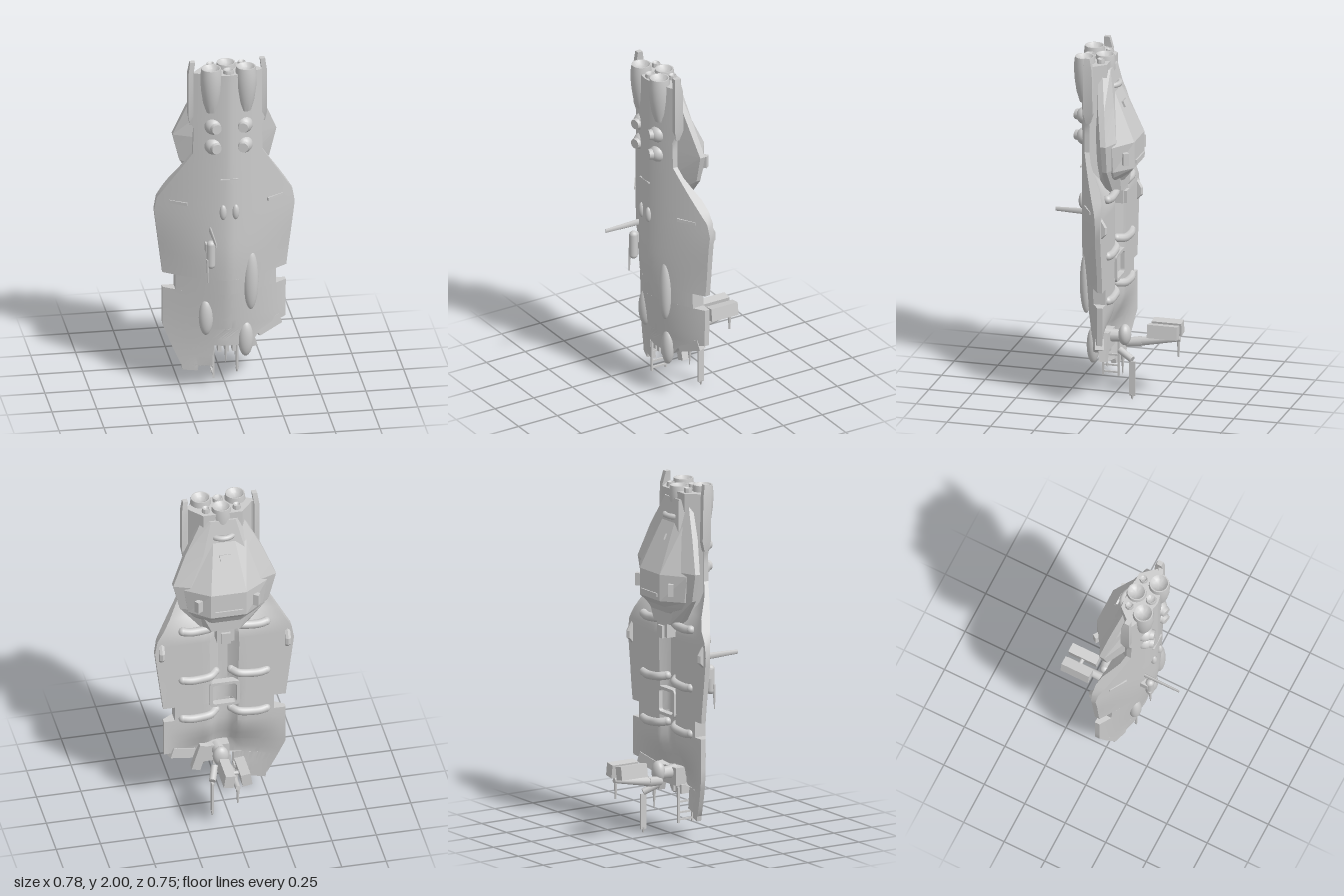
import * as THREE from 'three';
import { toCreasedNormals } from 'three/addons/utils/BufferGeometryUtils.js';

const { lerp, smoothstep } = THREE.MathUtils;

export function createModel() {
  const root = new THREE.Group();
  const mat = new THREE.MeshStandardMaterial({ color: 0xcccccc, side: THREE.DoubleSide });

  const add = (name, geo, x = 0, y = 0, z = 0, parent = root) => {
    const m = new THREE.Mesh(geo, mat);
    m.name = name;
    m.position.set(x, y, z);
    parent.add(m);
    return m;
  };
  const box = (name, w, h, d, x, y, z) => add(name, new THREE.BoxGeometry(w, h, d), x, y, z);
  const blob = (name, rx, ry, rz, x, y, z) =>
    add(name, new THREE.SphereGeometry(1, 20, 14).scale(rx, ry, rz), x, y, z);
  // rod between two points, r1 at the start and r2 at the end
  const rod = (name, a, b, r1, r2 = r1, sides = 10) => {
    const p = new THREE.Vector3(...a), q = new THREE.Vector3(...b), d = q.clone().sub(p);
    const m = add(name, new THREE.CylinderGeometry(r2, r1, d.length(), sides));
    m.position.copy(p).add(q).multiplyScalar(0.5);
    m.quaternion.setFromUnitVectors(new THREE.Vector3(0, 1, 0), d.normalize());
    return m;
  };
  // skin over rings of [x, y, z], bottom to top, counter-clockwise from above
  const loft = (rings, crease = 0.3) => {
    const n = rings[0].length, top = (rings.length - 1) * n, idx = [];
    for (let r = 0; r < rings.length - 1; r++)
      for (let i = 0; i < n; i++) {
        const a = r * n + i, b = r * n + ((i + 1) % n);
        idx.push(a, b, b + n, a, b + n, a + n);
      }
    for (let i = 0; i < n / 2 - 1; i++) {
      const q = [i, i + 1, n - 2 - i, n - 1 - i];
      idx.push(q[0], q[2], q[1], q[0], q[3], q[2]);
      idx.push(top + q[0], top + q[1], top + q[2], top + q[0], top + q[2], top + q[3]);
    }
    const g = new THREE.BufferGeometry();
    g.setAttribute('position', new THREE.Float32BufferAttribute(rings.flat(2), 3));
    g.setIndex(idx);
    return toCreasedNormals(g, crease);
  };

  // ---- hull: swept shell, V-shaped in section, rows of [y, left edge, right edge]
  const rows = [
    [0.11, -0.24, -0.16], [0.14, -0.245, -0.155], [0.145, -0.25, -0.075], [0.27, -0.305, -0.075],
    [0.27, -0.305, 0.14], [0.31, -0.32, 0.17], [0.37, -0.344, 0.3], [0.38, -0.345, 0.34],
    [0.6, -0.345, 0.342], [0.6, -0.28, 0.28], [0.69, -0.28, 0.28], [0.69, -0.345, 0.345],
    [1.07, -0.392, 0.392], [1.15, -0.378, 0.378], [1.45, -0.195, 0.195], [1.6, -0.19, 0.19],
    [1.66, -0.215, 0.215], [1.94, -0.215, 0.215]];
  const front = (x, y) => {
    const w = lerp(0.345, 0.392, smoothstep(y, 0.65, 1.08));
    const ridge = lerp(0.1, 0.185, smoothstep(y, 0.05, 0.9));
    return ridge * (1 - Math.pow(Math.min(1, Math.abs(x) / w), 1.45)) + 0.005;
  };
  const back = (x, y) => {
    const shell = front(x, y) - 0.028;
    const filled = Math.min(shell, -0.022 + 0.045 * (1 - smoothstep(Math.abs(x), 0.03, 0.09)));
    return lerp(shell, filled, smoothstep(y, 0.25, 0.55) * (1 - smoothstep(y, 1.15, 1.4)));
  };
  const hullRings = [];
  rows.forEach((row, k) => {
    const next = rows[k + 1];
    const steps = next ? Math.max(1, Math.ceil((next[0] - row[0]) / 0.07)) : 1;
    for (let s = 0; s < steps; s++) {
      const [y, l, r] = next ? row.map((v, i) => lerp(v, next[i], s / steps)) : row;
      const xs = Array.from({ length: 29 }, (_, i) => lerp(l, r, i / 28));
      hullRings.push([...xs.map(x => [x, y, front(x, y)]),
        ...xs.reverse().map(x => [x, y, back(x, y)])]);
    }
  });
  add('hull', loft(hullRings, 0.5));

  // ---- engine block and rear cabin
  const slab = (y, pts) => pts.map(([x, z]) => [x, y, z]);
  const block = [[0.18, 0.1], [0.11, 0.02], [-0.11, 0.02], [-0.18, 0.1], [-0.08, 0.17], [0.08, 0.17]];
  add('engineBlock', loft([slab(1.25, block), slab(1.94, block)]));
  // half width, ridge half width, front z, side z, rear z
  const cabin = ([y, w, t, zf, zm, zb]) => slab(y, [[w, zf], [w, zm], [t, zb], [-t, zb],
    [-w, zm], [-w, zf], [-w * 0.45, 0.08], [w * 0.45, 0.08]]);
  add('cabinBase', loft([
    [1.2, 0.12, 0.08, 0.02, -0.02, -0.055], [1.36, 0.25, 0.15, 0.005, -0.02, -0.06],
    [1.52, 0.29, 0.2, 0.005, -0.025, -0.06], [1.7, 0.215, 0.12, 0.04, 0.005, -0.025],
    [1.9, 0.11, 0.07, 0.07, 0.045, 0.01]].map(cabin), 0.1));
  add('cabinDome', loft([
    [1.27, 0.13, 0.08, 0, -0.03, -0.07], [1.31, 0.18, 0.09, 0, -0.04, -0.095],
    [1.35, 0.21, 0.1, 0, -0.045, -0.135], [1.5, 0.235, 0.1, 0, -0.045, -0.135],
    [1.78, 0.13, 0.06, 0.03, 0.01, -0.008]].map(cabin), 0.1));
  box('dockingTail', 0.1, 0.12, 0.06, 0, 1.18, -0.025);
  box('dockingLatch', 0.05, 0.07, 0.03, 0, 1.15, -0.055);
  box('cabinHatch', 0.065, 0.035, 0.02, 0, 1.69, -0.05).rotation.x = 0.43;
  box('cabinSill', 0.16, 0.02, 0.02, 0, 1.38, -0.133);
  const collar = add('engineCollar', new THREE.TorusGeometry(0.07, 0.016, 8, 20, Math.PI), 0, 1.8, 0.05);
  collar.rotation.x = -Math.PI / 2;

  // ---- nozzles with dished mouths
  const nozzle = (name, x, z, r, low, high) => add(name, toCreasedNormals(new THREE.LatheGeometry(
    [[0, 0], [0.45, 0.04], [0.75, 0.25], [0.95, 0.55], [1, 0.82], [0.9, 1], [0.8, 1], [0.5, 0.93], [0, 0.9]]
      .map(([a, b]) => new THREE.Vector2(a * r, lerp(low, high, b))), 24), 0.6), x, 0, z);
  nozzle('centreNozzle', 0, 0.06, 0.057, 1.72, 1.965);
  nozzle('smallNozzle', 0, 0.15, 0.03, 1.85, 1.96);

  for (const s of [-1, 1]) {
    nozzle('mainNozzle', s * 0.097, 0.15, 0.06, 1.7, 1.975);
    nozzle('smallNozzle', s * 0.087, 0.06, 0.023, 1.85, 1.965);
    // upright fins beside the engines
    const fin = (y, x, a, b) => slab(y, [[x + 0.014, a], [x - 0.014, a], [x - 0.014, b], [x + 0.014, b]]);
    add('fin', loft([fin(1.62, s * 0.195, 0.09, 0.11), fin(1.68, s * 0.205, 0.07, 0.125),
      fin(1.93, s * 0.205, 0.075, 0.125), fin(2, s * 0.195, 0.09, 0.12)]));
    // round thrusters
    for (const y of [1.505, 1.625]) {
      blob('thrusterBase', 0.05, 0.05, 0.05, s * 0.085, y, 0.15);
      rod('thrusterCap', [s * 0.085, y, 0.16], [s * 0.073, y, 0.207], 0.036, 0.028, 20);
    }
    blob('sensorBlister', 0.02, 0.045, 0.018, s * 0.035, 1.11, front(0.035, 1.11));
    box('wingSlot', 0.11, 0.018, 0.012, s * 0.27, 1.14, front(0.27, 1.14)).rotation.y = s * 0.57;
    // pods behind the wing tips
    const pod = (y, d) => slab(y, [[s * 0.355 + 0.015, -0.01], [s * 0.355 + 0.015, -d],
      [s * 0.355, -d - 0.008], [s * 0.355 - 0.015, -d], [s * 0.355 - 0.015, -0.01], [s * 0.355, 0]]);
    add('wingPod', loft([pod(1.01, 0.015), pod(1.04, 0.045), pod(1.08, 0.045), pod(1.13, 0.015)]));
    // side clamps on the cabin
    box('cabinClamp', 0.04, 0.07, 0.03, s * 0.16, 1.42, -0.1).rotation.y = s * 0.6;
    // curved cross rails on the rear face
    for (const y of [1.2, 0.87, 0.61]) {
      const path = new THREE.CatmullRomCurve3([[0.045, 0.012, 0.01], [0.08, 0.004, -0.022],
        [0.15, -0.004, -0.028], [0.2, -0.004, -0.028], [0.235, 0, -0.02]]
        .map(p => new THREE.Vector3(s * p[0], y + p[1], p[2])));
      add('crossRail', new THREE.TubeGeometry(path, 16, 0.024, 10));
      for (const t of [0, 1]) {
        const p = path.getPoint(t);
        blob('railEnd', 0.024, 0.024, 0.024, p.x, p.y, p.z);
      }
    }
    // solar panels on the boom
    box('boomPanel', 0.055, 0.075, 0.17, s * 0.048, 0.393, -0.285).rotation.z = s * 0.15;
  }

  // ---- front details
  box('seam', 0.1, 0.006, 0.008, 0, 1.31, 0.188);
  const bulge = (x, y, rx, ry) => blob('hullBulge', rx, ry, 0.035, x, y, front(x, y) - 0.002);
  bulge(0.127, 0.67, 0.042, 0.18);
  bulge(-0.12, 0.45, 0.04, 0.108);
  bulge(0.103, 0.3, 0.042, 0.105);
  add('sensorPod', new THREE.CapsuleGeometry(0.024, 0.12, 6, 14), -0.105, 0.865, 0.195);
  rod('podNeedle', [-0.125, 0.84, 0.205], [-0.125, 0.7, 0.21], 0.009, 0.003);
  box('podMount', 0.035, 0.05, 0.05, -0.115, 0.9, 0.17);
  const blade = add('antennaBlade', new THREE.CylinderGeometry(0.012, 0.02, 0.23, 8).scale(0.4, 1, 1), -0.103, 0.998, 0.26);
  blade.rotation.x = Math.PI / 2;

  // ---- rear window frame in the centre trough
  const frame = new THREE.Shape();
  const rounded = (p, w, h, r) => p.moveTo(-w + r, -h).lineTo(w - r, -h).quadraticCurveTo(w, -h, w, -h + r)
    .lineTo(w, h - r).quadraticCurveTo(w, h, w - r, h).lineTo(-w + r, h).quadraticCurveTo(-w, h, -w, h - r)
    .lineTo(-w, -h + r).quadraticCurveTo(-w, -h, -w + r, -h);
  rounded(frame, 0.085, 0.08, 0.025);
  const hole = new THREE.Path();
  rounded(hole, 0.068, 0.063, 0.02);
  frame.holes.push(hole);
  add('windowFrame', new THREE.ExtrudeGeometry(frame, { depth: 0.04, bevelEnabled: false }), 0, 0.745, -0.03);

  // ---- lower equipment: turret, boom, hanging needles
  box('gearBase', 0.15, 0.1, 0.09, 0.04, 0.32, 0.06);
  blob('turret', 0.045, 0.06, 0.035, 0.03, 0.35, -0.06);
  rod('turretMount', [0.03, 0.34, 0.05], [0.02, 0.34, -0.07], 0.04, 0.03);
  rod('boomRoot', [0.01, 0.3, -0.06], [0, 0.31, -0.15], 0.025, 0.03);
  rod('boom', [0, 0.31, -0.14], [0, 0.345, -0.37], 0.027, 0.014);
  rod('panelAxle', [-0.05, 0.39, -0.285], [0.05, 0.39, -0.285], 0.012);
  rod('boomNeedle', [0, 0.34, -0.36], [0, 0.24, -0.36], 0.01, 0.005);
  rod('hangerArm', [0.06, 0.27, -0.04], [0.09, 0.23, -0.12], 0.02);
  box('hangingBlade', 0.012, 0.2, 0.036, 0.09, 0.12, -0.12);
  rod('hangingBladeTip', [0.09, 0.03, -0.12], [0.09, 0, -0.12], 0.01, 0.004);
  rod('needle', [0, 0.27, 0.05], [0, 0.14, 0.05], 0.012, 0.002);
  rod('needle', [0.07, 0.26, -0.06], [0.07, 0.13, -0.06], 0.012, 0.002);
  for (const x of [-0.04, 0, 0.04]) box('gearStub', 0.02, 0.05, 0.06, x, 0.25, 0.07);
  box('brokenPanel', 0.15, 0.06, 0.05, 0.235, 0.35, 0.03).rotation.set(0, 0.35, 0.35);
  box('clampArm', 0.05, 0.16, 0.04, 0.13, 0.3, 0.03).rotation.z = 0.3;

  // ---- ladder on the cut edge of the hull
  for (const z of [0.005, 0.095]) box('ladderRail', 0.01, 0.2, 0.01, -0.075, 0.17, z);
  for (const y of [0.09, 0.13, 0.19]) box('ladderRung', 0.01, 0.01, 0.09, -0.075, y, 0.05);

  return root;
}
